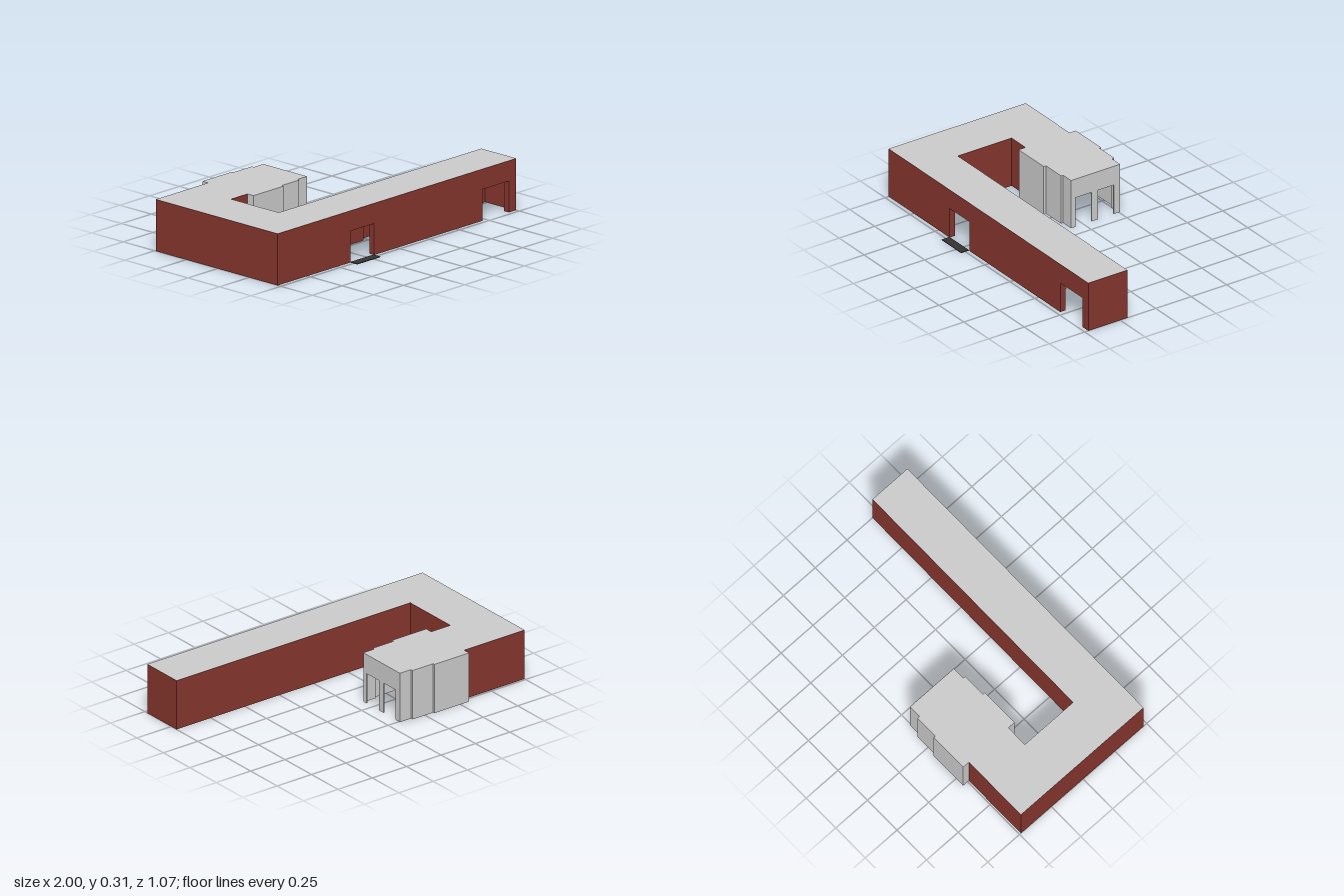
import * as THREE from 'three';

const H = 0.313; // wall height
const DOOR = 0.19; // height of doors and recesses

export function createModel() {
  const group = new THREE.Group();
  const material = (name, color) => {
    const m = new THREE.MeshStandardMaterial({ color, side: THREE.DoubleSide });
    m.name = name;
    return m;
  };
  const brick = material('brick red', 0x85352d);
  const grey = material('light grey', 0xcacaca);
  const dark = material('dark grey', 0x333333);

  const add = (name, geometry, mat) => {
    const mesh = new THREE.Mesh(geometry, mat);
    mesh.name = name;
    group.add(mesh);
    return mesh;
  };

  // Upright wall from a to b, outer face on the right-hand side of travel.
  // Openings are [start, end] distances along the wall, cut up from the floor.
  const wall = (name, a, b, mat, openings = [], thick = 0.008, inset = 0) => {
    const dx = b[0] - a[0], dz = b[1] - a[1];
    const len = Math.hypot(dx, dz);
    const s = new THREE.Shape();
    s.moveTo(0, 0);
    for (const [p, q] of openings) {
      s.lineTo(p, 0);
      s.lineTo(p, DOOR);
      s.lineTo(q, DOOR);
      s.lineTo(q, 0);
    }
    s.lineTo(len, 0);
    s.lineTo(len, H - 0.001);
    s.lineTo(0, H - 0.001);
    const geo = new THREE.ExtrudeGeometry(s, { depth: thick, bevelEnabled: false });
    geo.translate(0, 0, -thick - inset);
    const mesh = add(name, geo, mat);
    mesh.rotation.y = Math.atan2(-dz, dx);
    mesh.position.set(a[0], 0, a[1]);
  };

  // Brick wings around the courtyard
  const doors = [[0.61, 0.81], [1.72, 1.94]];
  wall('frontWall', [-1, 0.475], [1, 0.475], brick, doors);
  wall('frontEndWall', [1, 0.475], [1, 0.2], brick);
  wall('courtyardFrontWall', [1, 0.2], [-0.7, 0.2], brick);
  wall('courtyardSideWall', [-0.7, 0.2], [-0.7, -0.18], brick);
  wall('courtyardBackWall', [-0.7, -0.18], [-0.56, -0.18], brick);
  wall('backWall', [-0.56, -0.49], [-1, -0.49], brick);
  wall('sideWall', [-1, -0.49], [-1, 0.475], brick);

  // Inner linings with recessed bays
  wall('frontLining', [-0.99, 0.475], [0.99, 0.475], brick,
    [[0.17, 0.37], [0.6, 0.8], [0.96, 1.16], [1.35, 1.55], [1.71, 1.93]], 0.03, 0.008);
  wall('courtyardLining', [0.99, 0.2], [-0.7, 0.2], brick,
    [[0.04, 0.25], [0.43, 0.63], [0.82, 1.02], [1.27, 1.47]], 0.03, 0.008);
  wall('sideLining', [-1, -0.48], [-1, 0.465], brick,
    [[0.05, 0.31], [0.34, 0.72], [0.75, 0.92]], 0.03, 0.008);

  // Grey stepped hall: each section is [x start, x end, z back, z front]
  const sections = [
    [-0.56, -0.31, -0.535, -0.132],
    [-0.31, -0.16, -0.523, -0.148],
    [-0.16, -0.08, -0.507, -0.163],
  ];
  sections.forEach(([x0, x1, zb, zf], i) => {
    wall('hallFrontWall', [x0, zf], [x1, zf], grey);
    wall('hallBackWall', [x1, zb], [x0, zb], grey);
    const next = sections[i + 1];
    if (next) {
      wall('hallFrontStep', [x1, zf], [x1, next[3]], grey);
      wall('hallBackStep', [x1, next[2]], [x1, zb], grey);
    }
  });
  wall('hallFrontReturn', [-0.56, -0.18], [-0.56, -0.132], grey);
  wall('hallBackReturn', [-0.56, -0.535], [-0.56, -0.49], grey);
  wall('hallEndWall', [-0.08, -0.163], [-0.08, -0.507], grey,
    [[0.03, 0.145], [0.19, 0.302]]);

  // Flat roof over wings and hall
  const outline = [[-1, 0.475], [1, 0.475], [1, 0.2], [-0.7, 0.2], [-0.7, -0.18], [-0.56, -0.18]];
  for (const [x0, x1, , zf] of sections) outline.push([x0, zf], [x1, zf]);
  for (const [x0, x1, zb] of [...sections].reverse()) outline.push([x1, zb], [x0, zb]);
  outline.push([-0.56, -0.49], [-1, -0.49]);
  const roofShape = new THREE.Shape(outline.map(([x, z]) => new THREE.Vector2(x, -z)));
  add('roof', new THREE.ShapeGeometry(roofShape).rotateX(-Math.PI / 2), grey).position.y = H;

  // Doorstep mat
  add('doorstep', new THREE.BoxGeometry(0.195, 0.004, 0.055), dark).position.set(-0.293, 0.002, 0.503);

  return group;
}
